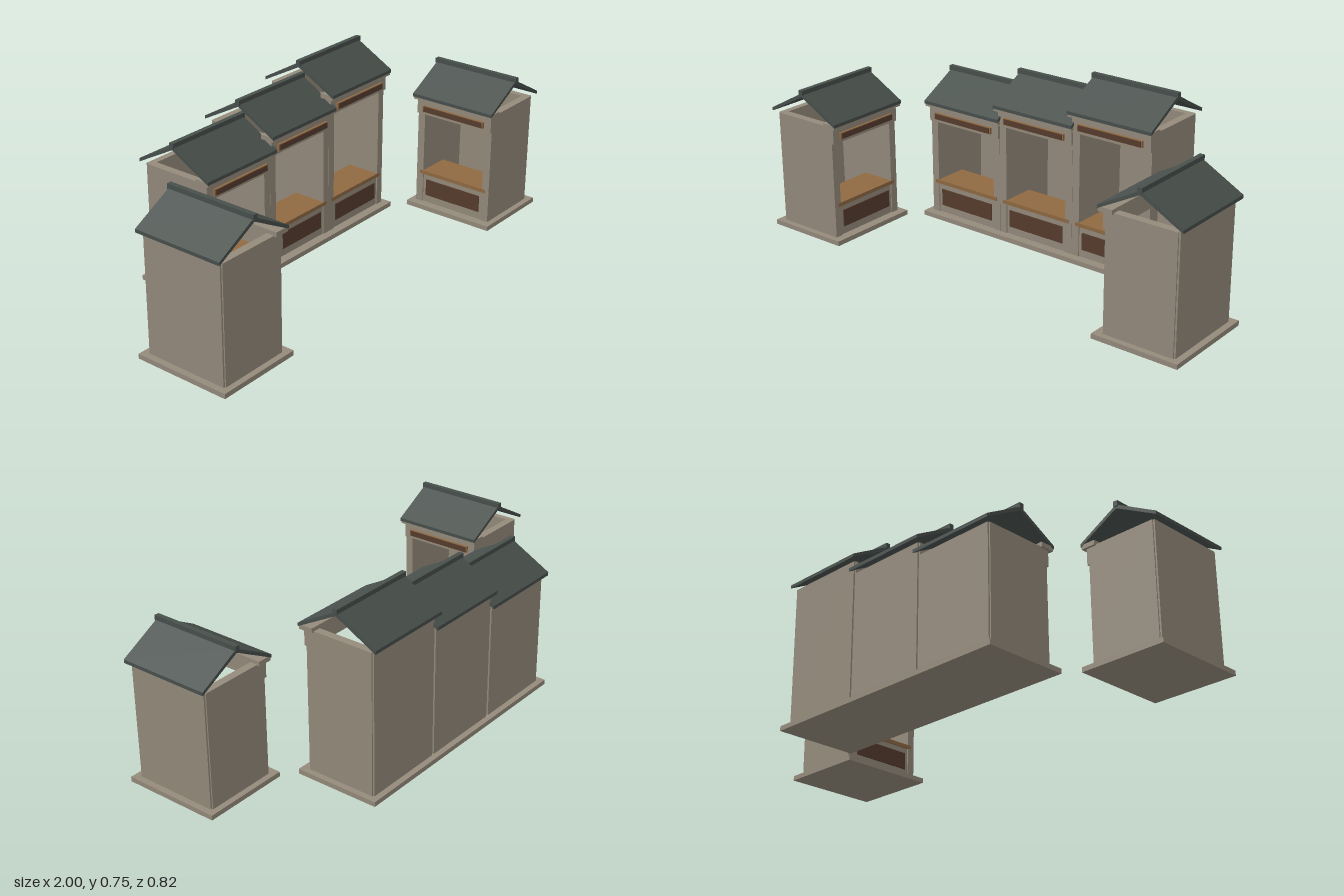
import * as THREE from 'three';

const material = (name, color) => {
  const m = new THREE.MeshStandardMaterial({ color });
  m.name = name;
  return m;
};

export function createModel() {
  const stone = material('stone', 0x958b7c);
  const slate = material('slate', 0x48504c);
  const wood = material('wood', 0x8f6a42);
  const darkWood = material('darkWood', 0x573d2e);

  // Box given by its lower and upper limits on each axis
  function box(parent, name, mat, [x0, x1], [y0, y1], [z0, z1]) {
    const mesh = new THREE.Mesh(new THREE.BoxGeometry(x1 - x0, y1 - y0, z1 - z0), mat);
    mesh.position.set((x0 + x1) / 2, (y0 + y1) / 2, (z0 + z1) / 2);
    mesh.name = name;
    parent.add(mesh);
  }

  // One stall, facing +z, with walls up to height h
  function stall(name, h) {
    const g = new THREE.Group();
    g.name = name;

    // Walls
    box(g, 'leftWall', stone, [0.15, 0.183], [0.02, h], [-0.15, 0.148]);
    box(g, 'rightWall', stone, [-0.183, -0.15], [0.02, h], [-0.15, 0.148]);
    box(g, 'backWall', stone, [-0.178, 0.178], [0.02, h], [-0.157, -0.13]);

    // Counter with its panelled front
    box(g, 'counterFront', stone, [-0.15, 0.15], [0.02, 0.15], [0.12, 0.143]);
    box(g, 'counterPanel', darkWood, [-0.135, 0.135], [0.053, 0.126], [0.142, 0.147]);
    box(g, 'counterTop', wood, [-0.15, 0.15], [0.15, 0.166], [0.0, 0.148]);
    box(g, 'counterEdge', wood, [-0.166, 0.166], [0.15, 0.166], [0.146, 0.15]);

    // Lintel, framed board and cornice
    box(g, 'lintel', stone, [-0.183, 0.183], [h - 0.07, h], [0.125, 0.158]);
    box(g, 'boardFrame', wood, [-0.15, 0.15], [h - 0.055, h - 0.028], [0.157, 0.168]);
    box(g, 'boardFace', darkWood, [-0.145, 0.145], [h - 0.053, h - 0.03], [0.167, 0.171]);
    box(g, 'cornice', stone, [-0.193, 0.193], [h - 0.004, h + 0.015], [0.113, 0.174]);

    // Gable roof as one folded slab
    const profile = new THREE.Shape([
      [-0.177, 0.006], [0, 0.101], [0.177, 0.006], [0.177, 0.02], [0, 0.117], [-0.177, 0.02],
    ].map(([x, y]) => new THREE.Vector2(x, y)));
    const slab = new THREE.ExtrudeGeometry(profile, { depth: 0.39, bevelEnabled: false });
    slab.translate(0, 0, -0.195).rotateY(Math.PI / 2);
    const roof = new THREE.Mesh(slab, slate);
    roof.position.y = h;
    roof.name = 'roof';
    g.add(roof);
    box(g, 'ridge', slate, [-0.2, 0.2], [h + 0.108, h + 0.13], [-0.01, 0.01]);
    return g;
  }

  const model = new THREE.Group();
  model.name = 'stalls';

  // Stepped row of three joined stalls
  const row = new THREE.Group();
  row.name = 'stallRow';
  box(row, 'rowBase', stone, [-0.575, 0.575], [0, 0.02], [-0.182, 0.182]);
  [0.5, 0.558, 0.615].forEach((h, i) => {
    const s = stall(['rightStall', 'middleStall', 'leftStall'][i], h);
    s.position.x = (i - 1) * 0.367;
    row.add(s);
  });
  row.position.z = -0.228;
  model.add(row);

  // Two single stalls facing each other
  for (const side of [-1, 1]) {
    const s = stall(side > 0 ? 'leftSingleStall' : 'rightSingleStall', 0.5);
    box(s, 'base', stone, [-0.2075, 0.2075], [0, 0.02], [-0.183, 0.183]);
    s.rotation.y = -side * Math.PI / 2;
    s.position.set(side * 0.817, 0, 0.205);
    model.add(s);
  }
  return model;
}
